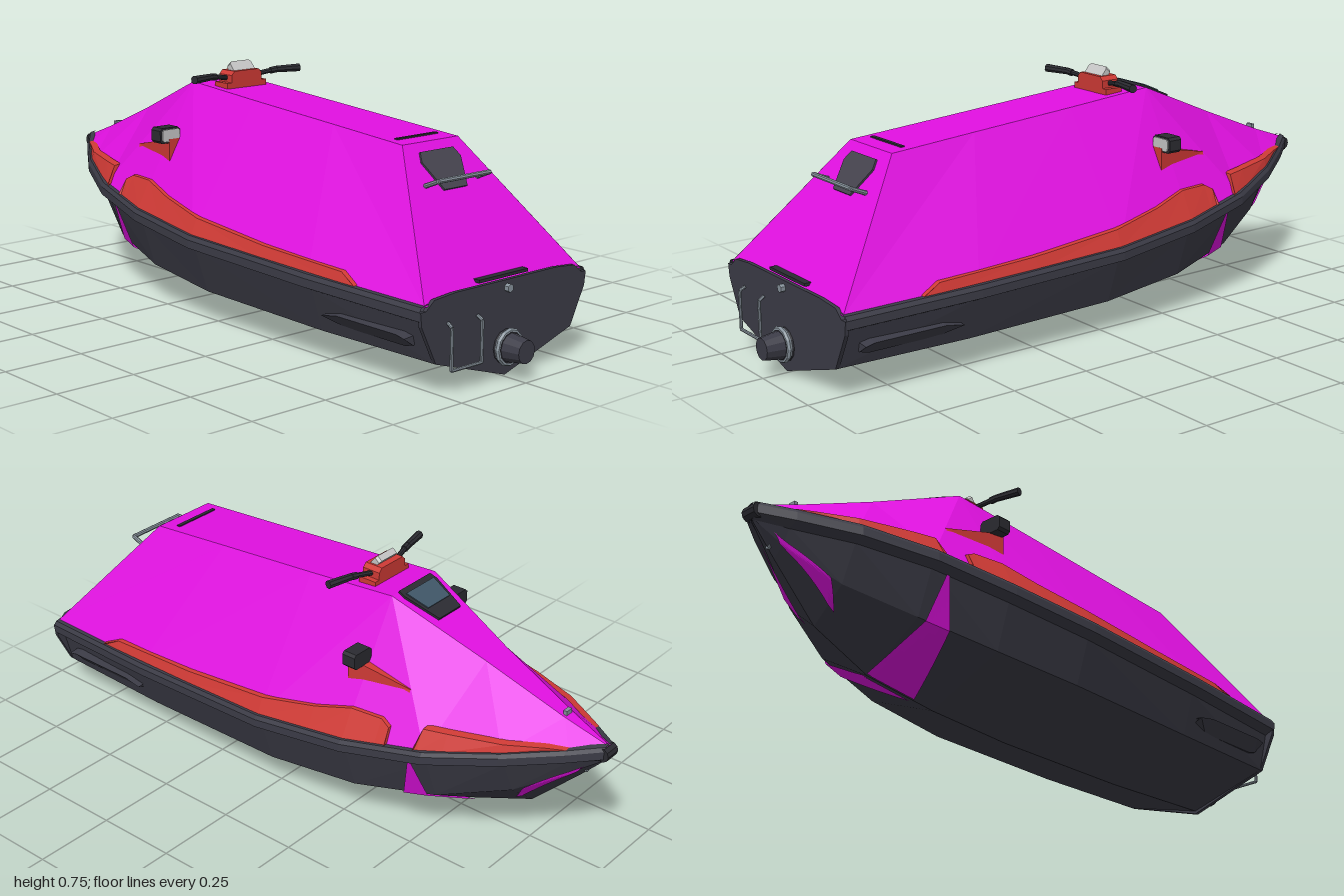
import * as THREE from 'three';

const mat = (name, color, side = THREE.FrontSide) => {
  const m = new THREE.MeshStandardMaterial({ color, side, flatShading: true });
  m.name = name;
  return m;
};

export function createModel() {
  const root = new THREE.Group();
  const magenta = mat('magenta', 0xe010e0, THREE.DoubleSide);
  const hullGrey = mat('hull grey', 0x3b3b46, THREE.DoubleSide);
  const black = mat('black', 0x2b2b31);
  const red = mat('red', 0xcf3a35, THREE.DoubleSide);
  const steel = mat('steel', 0x87929b);
  const silver = mat('silver', 0xc6c6c6);
  const glass = mat('glass', 0x3f5566);
  const panelGrey = mat('panel grey', 0x45434e);

  const add = (name, geo, material, x = 0, y = 0, z = 0, rx = 0) => {
    const m = new THREE.Mesh(geo, material);
    m.name = name;
    m.position.set(x, y, z);
    m.rotation.x = rx;
    root.add(m);
    return m;
  };

  // Faceted surface through rows of points; s = -1 mirrors it across x
  const loft = (rows, s = 1) => {
    const p = [];
    const put = (...v) => (s > 0 ? v : v.reverse()).forEach(q => p.push(q[0] * s, q[1], q[2]));
    for (let i = 0; i + 1 < rows.length; i++)
      for (let j = 0; j + 1 < rows[i].length; j++) {
        const a = rows[i][j], b = rows[i + 1][j], c = rows[i + 1][j + 1], d = rows[i][j + 1];
        put(a, b, c);
        put(a, c, d);
      }
    const g = new THREE.BufferGeometry();
    g.setAttribute('position', new THREE.Float32BufferAttribute(p, 3));
    g.computeVertexNormals();
    return g;
  };
  const pair = (name, rows, material) => [1, -1].forEach(s =>
    add((s > 0 ? 'left ' : 'right ') + name, loft(rows, s), material));

  // Flat outline with thickness, its face towards local +z
  const slab = (pts, depth) => new THREE.ExtrudeGeometry(
    new THREE.Shape(pts.map(p => new THREE.Vector2(...p))), { depth, bevelEnabled: false });
  const chamfered = (w, h, c) => [[-w + c, -h], [w - c, -h], [w, -h + c], [w, h - c],
    [w - c, h], [-w + c, h], [-w, h - c], [-w, -h + c]];

  const rod = (name, a, b, r1, r2, material, sides = 8) => {
    const A = new THREE.Vector3(...a), B = new THREE.Vector3(...b), d = B.clone().sub(A);
    const m = add(name, new THREE.CylinderGeometry(r2, r1, d.length(), sides), material);
    m.position.copy(A).add(B).multiplyScalar(0.5);
    m.quaternion.setFromUnitVectors(new THREE.Vector3(0, 1, 0), d.normalize());
    return m;
  };
  const bentTube = (name, pts, r) => {
    for (let i = 0; i + 1 < pts.length; i++) rod(name, pts[i], pts[i + 1], r, r, steel);
  };

  // Hull stations from stern to bow: z, keel y, chine x, chine y, rail x, rail y
  const S = [
    [0.92, 0.015, 0.27, 0.09, 0.33, 0.25], [0.5, 0, 0.285, 0.09, 0.355, 0.262],
    [0, 0, 0.29, 0.1, 0.365, 0.28], [-0.3, 0.015, 0.26, 0.12, 0.335, 0.305],
    [-0.55, 0.045, 0.2, 0.16, 0.28, 0.34], [-0.75, 0.13, 0.11, 0.22, 0.19, 0.375],
    [-0.9, 0.28, 0.035, 0.31, 0.09, 0.4], [-0.985, 0.37, 0.008, 0.38, 0.025, 0.415]];
  const station = z => {
    let i = 0;
    while (i < S.length - 2 && z < S[i + 1][0]) i++;
    const t = (z - S[i][0]) / (S[i + 1][0] - S[i][0]);
    return S[i].map((v, k) => v + (S[i + 1][k] - v) * t);
  };
  const section = ([z, ky, cx, cy, gx, gy]) =>
    [[0, ky, z], [cx, cy, z], [Math.max(gx - 0.03, 0.005), gy - 0.045, z]];
  pair('hull side', S.map(section), hullGrey);
  pair('gunwale rail', S.map(([z, , , , x, y]) => {
    const inner = Math.max(x - 0.035, 0);
    return [[inner, y - 0.05, z], [x, y - 0.035, z], [x, y - 0.01, z],
      [x - 0.008, y + 0.002, z], [inner, y + 0.006, z]];
  }), hullGrey);

  // Transom
  const half = [[0.27, 0.09], [0.325, 0.2], [0.33, 0.24], [0.31, 0.24], [0.28, 0.265], [0.2, 0.272]];
  add('transom', slab([[0, 0.005], ...half, ...half.map(([x, y]) => [-x, y]).reverse()], 0.012),
    hullGrey, 0, 0, 0.912);

  // Upper body: top edge point for each hull station
  const tops = [[0.11, 0.61, 0.63], [0.107, 0.631, 0.35], [0.105, 0.657, 0], [0.1, 0.68, -0.3],
    [0.1, 0.68, -0.3], [0.05, 0.558, -0.6], [0.02, 0.46, -0.85], [0.003, 0.415, -0.98]];
  pair('body side', S.map(([z, , , , x, y], i) => [[Math.max(x - 0.018, 0.005), y, z], tops[i]]), magenta);
  pair('body top', tops.map(t => [t, [0, t[1], t[2]]]), magenta);
  add('body stern slope', loft([[[-0.312, 0.25, 0.919], [-0.11, 0.61, 0.63]],
    [[0.312, 0.25, 0.919], [0.11, 0.61, 0.63]]]), magenta);

  // Red side panels above the rail: z, height of top edge above the rail
  const panel = list => list.map(([z, h]) => {
    const [, , , , x, y] = station(z);
    const xt = x - 0.006 - 0.6 * h;
    return [[x - 0.014, y, z], [xt, y + h, z], [xt - 0.025, y + h + 0.003, z]];
  });
  pair('long side panel', panel([[0.68, 0.005], [0.62, 0.03], [0.3, 0.035], [0, 0.05], [-0.18, 0.065],
    [-0.3, 0.085], [-0.4, 0.07], [-0.43, 0.05], [-0.435, 0.005]]), red);
  pair('bow side panel', panel([[-0.52, 0.005], [-0.53, 0.06], [-0.6, 0.05], [-0.75, 0.026],
    [-0.85, 0.012], [-0.9, 0.003]]), red);

  // Painted hull patches, following the hull between four (z, v) corners
  const onHull = (z, v) => {
    const p = section(station(z)), k = v < 1 ? 0 : 1;
    const q = p[k].map((c, i) => c + (p[k + 1][i] - c) * (v - k));
    return [q[0] + 0.004, q[1] - 0.004, z];
  };
  const patch = (a, b, c, d) => {
    const mix = (p, q, t) => p.map((v, i) => v + (q[i] - v) * t), n = 8, rows = [];
    for (let i = 0; i <= n; i++) {
      rows.push([]);
      for (let j = 0; j <= n; j++)
        rows[i].push(onHull(...mix(mix(a, b, i / n), mix(d, c, i / n), j / n)));
    }
    return rows;
  };
  pair('hull stripe', patch([-0.455, 1], [-0.53, 1], [-0.505, 2], [-0.495, 2]), magenta);
  pair('keel stripe', patch([-0.38, 0.02], [-0.56, 0.02], [-0.53, 1], [-0.455, 1]), magenta);
  pair('bow stripe', patch([-0.73, 0.45], [-0.91, 0.9], [-0.93, 1.3], [-0.78, 1.0]), magenta);

  // Windscreen on the bow slope, panel and strips at the stern
  const bowTilt = -(Math.PI / 2 + 0.386), sternTilt = -0.678;
  add('windscreen frame', slab([[-0.072, -0.07], [0.072, -0.07], [0.075, -0.045], [0.05, 0.07],
    [-0.05, 0.07], [-0.075, -0.045]], 0.008), black, 0, 0.653, -0.365, bowTilt);
  add('windscreen', slab([[-0.064, -0.05], [0.064, -0.05], [0.05, 0.025], [-0.05, 0.025]], 0.003),
    glass, 0, 0.661, -0.368, bowTilt);
  add('stern panel', slab([[-0.045, -0.061], [0.045, -0.061], [0.077, 0.03], [0.065, 0.061],
    [-0.065, 0.061], [-0.077, 0.03]], 0.006), panelGrey, 0, 0.5375, 0.688, sternTilt);
  add('seat strip', new THREE.BoxGeometry(0.16, 0.006, 0.012), black, 0, 0.615, 0.575);
  add('stern strip', new THREE.BoxGeometry(0.195, 0.009, 0.025), black, 0, 0.28, 0.9);

  // Grab rail and boarding step
  bentTube('grab rail', [[-0.102, 0.508, 0.712], [-0.102, 0.528, 0.76], [0.102, 0.528, 0.76],
    [0.102, 0.508, 0.712]], 0.007);
  bentTube('boarding step', [[-0.228, 0.195, 0.925], [-0.23, 0.185, 0.942], [-0.23, 0.068, 0.942],
    [-0.114, 0.068, 0.942], [-0.114, 0.185, 0.942], [-0.116, 0.195, 0.925]], 0.005);

  // Jet nozzle and fittings
  const ring = new THREE.TorusGeometry(0.046, 0.008, 6, 12);
  add('nozzle ring', ring, steel, 0, 0.086, 0.938);
  rod('nozzle base', [0, 0.086, 0.918], [0, 0.086, 0.945], 0.05, 0.045, black, 12);
  rod('nozzle', [0, 0.086, 0.94], [0, 0.086, 1], 0.042, 0.033, hullGrey, 12);
  rod('stern bolt', [0, 0.25, 0.92], [0, 0.25, 0.938], 0.012, 0.012, steel, 6);
  rod('bow eye', [0, 0.31, -0.89], [0, 0.31, -0.925], 0.009, 0.009, steel, 6);
  add('bow cleat', new THREE.BoxGeometry(0.025, 0.014, 0.012), steel, 0, 0.468, -0.845);
  rod('bow bumper', [-0.025, 0.392, -0.978], [0.025, 0.392, -0.978], 0.022, 0.022, black, 10);

  // Handlebar console and display
  add('console foot', new THREE.BoxGeometry(0.155, 0.02, 0.06), red, 0, 0.677, -0.19);
  add('console', slab(chamfered(0.06, 0.026, 0.012), 0.06), red, 0, 0.696, -0.22);
  add('display', slab(chamfered(0.042, 0.026, 0.007), 0.02), silver, 0, 0.715, -0.192, -0.7);

  for (const s of [1, -1]) {
    // Handlebar with grip
    rod('handlebar', [s * 0.055, 0.7, -0.19], [s * 0.12, 0.71, -0.175], 0.008, 0.008, black);
    rod('handlebar collar', [s * 0.11, 0.708, -0.177], [s * 0.13, 0.711, -0.173], 0.011, 0.011, black);
    rod('grip', [s * 0.13, 0.711, -0.173], [s * 0.21, 0.711, -0.155], 0.011, 0.013, black);
    // Mirror: red bracket, dark housing, bright face
    add('mirror bracket', loft([
      [[0.15, 0.43, -0.25], [0.235, 0.43, -0.25], [0.235, 0.52, -0.25], [0.185, 0.52, -0.25], [0.15, 0.43, -0.25]],
      [[0.17, 0.46, -0.45], [0.205, 0.46, -0.45], [0.2, 0.475, -0.45], [0.18, 0.475, -0.45], [0.17, 0.46, -0.45]]],
    s), red);
    add('mirror bracket back', loft([[[0.15, 0.43, -0.25], [0.185, 0.52, -0.25]],
      [[0.235, 0.43, -0.25], [0.235, 0.52, -0.25]]], s), red);
    add('mirror housing', slab(chamfered(0.038, 0.024, 0.008), 0.045), black, s * 0.228, 0.531, -0.3);
    add('mirror face', slab(chamfered(0.033, 0.019, 0.006), 0.004), silver, s * 0.226, 0.531, -0.255);
    // Stabiliser fin on the hull side
    const fin = [[0.86, 0.012], [0.83, 0.02], [0.6, 0.02], [0.54, 0.006]].map(([z, h]) =>
      [[0.25, 0.145 - h, z], [0.29, 0.143 - h, z], [0.325, 0.145 + h * 0.8, z], [0.28, 0.147 + h, z]]);
    add('stabiliser', loft(fin, s), hullGrey);
    add('stabiliser end', loft([[fin[0][0], fin[0][3]], [fin[0][1], fin[0][2]]], s), hullGrey);
  }
  return root;
}
